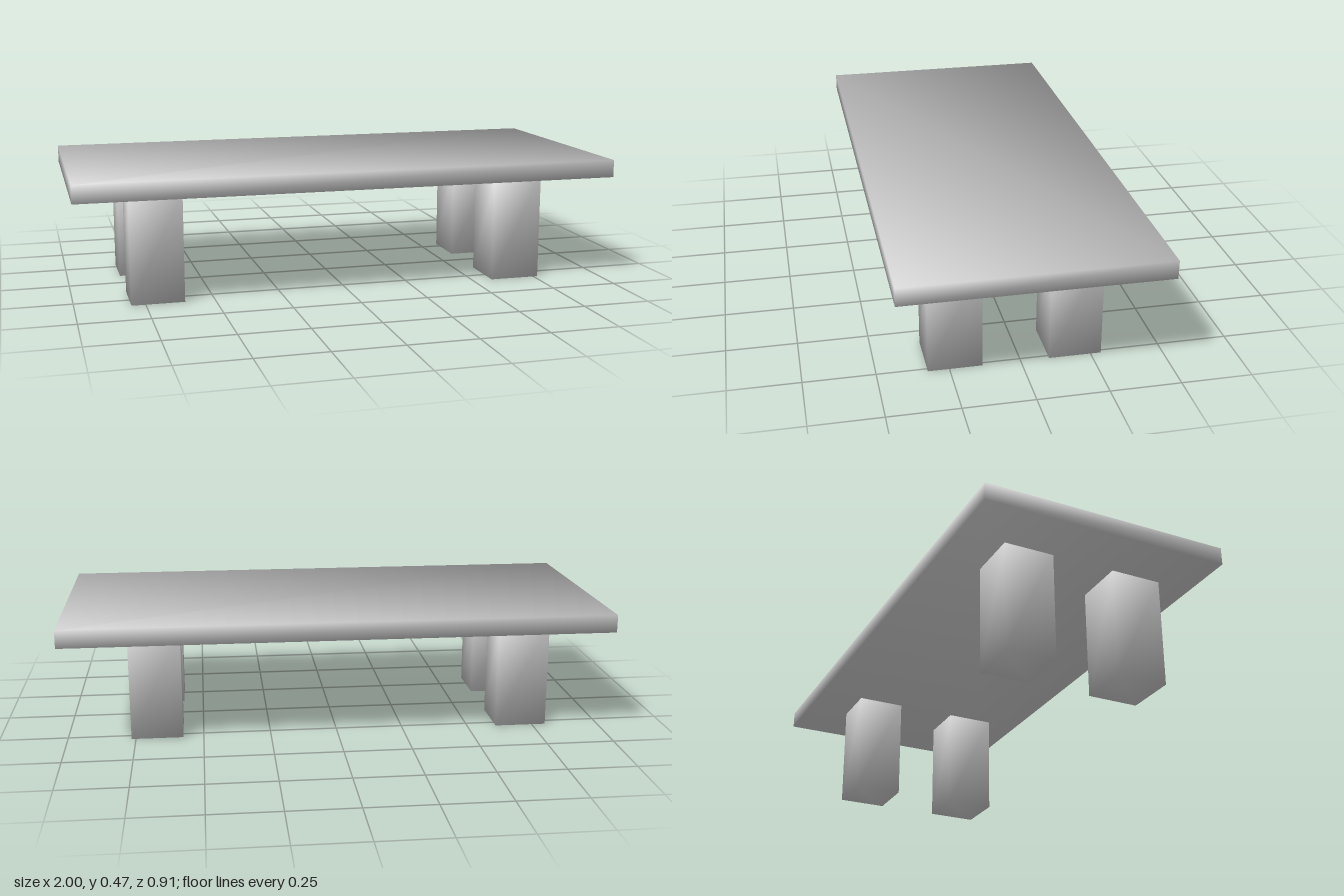
import * as THREE from 'three';

const material = new THREE.MeshStandardMaterial({ color: 0xcccccc });

// Box given by its extents, with one shared diagonal normal per corner for soft shading
function softBox(name, [x0, x1], [y0, y1], [z0, z1]) {
  const geometry = new THREE.BoxGeometry(x1 - x0, y1 - y0, z1 - z0);
  const { position, normal } = geometry.attributes;
  const corner = new THREE.Vector3();
  for (let i = 0; i < position.count; i++) {
    corner.fromBufferAttribute(position, i);
    corner.set(Math.sign(corner.x), Math.sign(corner.y), Math.sign(corner.z)).normalize();
    normal.setXYZ(i, corner.x, corner.y, corner.z);
  }
  const mesh = new THREE.Mesh(geometry, material);
  mesh.name = name;
  mesh.position.set((x0 + x1) / 2, (y0 + y1) / 2, (z0 + z1) / 2);
  return mesh;
}

export function createModel() {
  const table = new THREE.Group();
  table.name = 'table';

  // Flat slab top
  const underside = 0.403;
  table.add(softBox('tableTop', [-1, 1], [underside, 0.468], [-0.457, 0.457]));

  // Four square legs, set slightly off centre
  const sides = { Left: [0.576, 0.766], Right: [-0.801, -0.609] };
  const ends = { front: [0.135, 0.325], back: [-0.287, -0.101] };
  for (const [end, z] of Object.entries(ends)) {
    for (const [side, x] of Object.entries(sides)) {
      table.add(softBox(`${end}${side}Leg`, x, [0, underside], z));
    }
  }
  return table;
}
